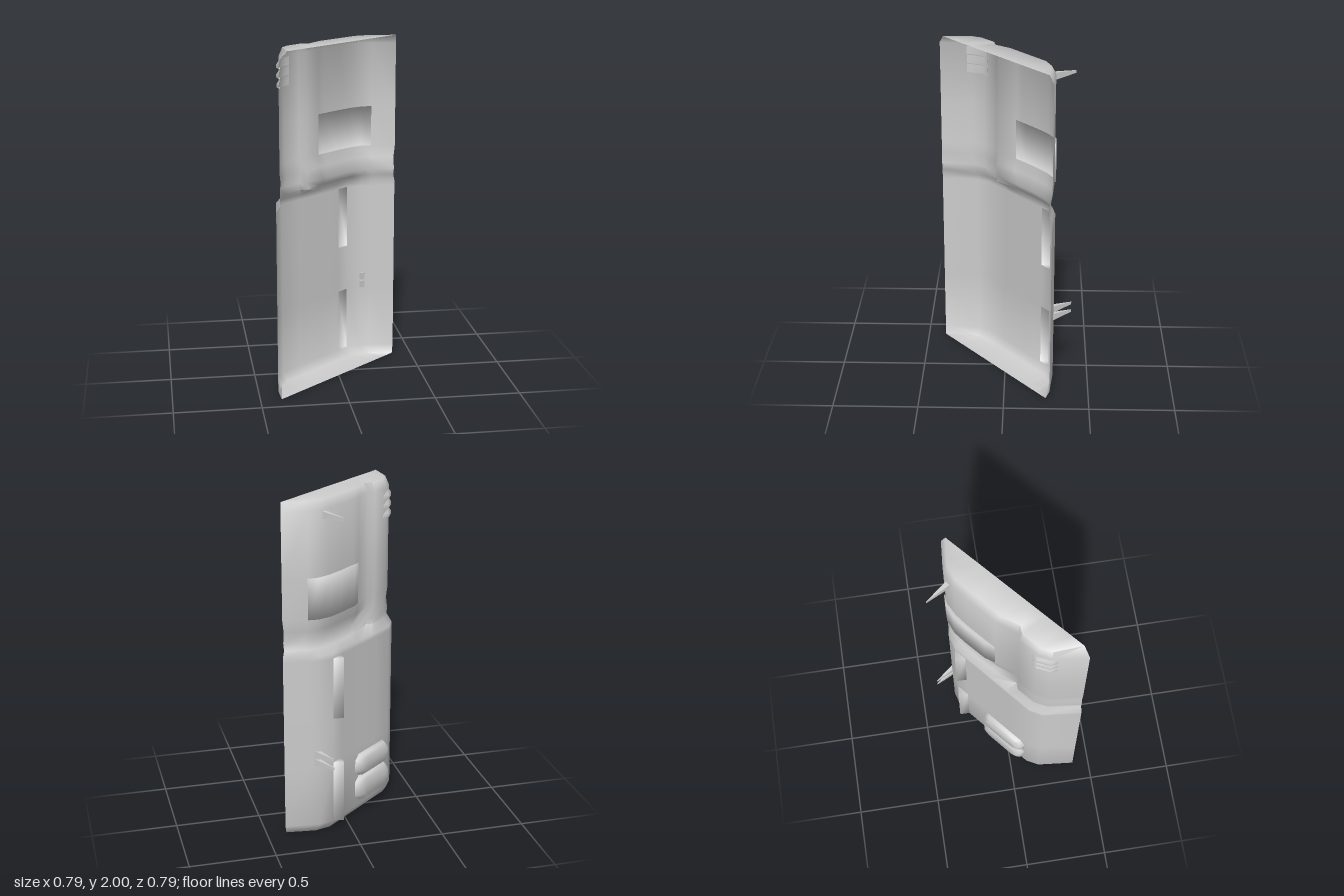
import * as THREE from 'three';
import { toCreasedNormals } from 'three/addons/utils/BufferGeometryUtils.js';

const material = new THREE.MeshStandardMaterial({ color: 0xcccccc, side: THREE.DoubleSide });

function part(name, geometry) {
  const mesh = new THREE.Mesh(geometry, material);
  mesh.name = name;
  return mesh;
}

// Skin rows of [x, y, z] points; skip(row, column) leaves an opening.
function loft(rows, crease, skip = () => false) {
  const pos = [];
  for (let r = 0; r < rows.length - 1; r++) {
    for (let c = 0; c < rows[r].length - 1; c++) {
      if (skip(r, c)) continue;
      const a = rows[r][c], b = rows[r][c + 1], d = rows[r + 1][c], e = rows[r + 1][c + 1];
      pos.push(...a, ...d, ...b, ...b, ...d, ...e);
    }
  }
  const g = new THREE.BufferGeometry();
  g.setAttribute('position', new THREE.Float32BufferAttribute(pos, 3));
  return toCreasedNormals(g, crease);
}

const at = (section, y) => section.map(([x, z]) => [x, y, z]);

// Plan sections [x, z] of the shell, all with the same columns
const lower = [[-0.397, 0.394], [-0.376, 0.175], [-0.337, 0.102], [-0.23, 0.012], [-0.2, -0.013], [-0.1, -0.097],
  [-0.06, -0.13], [0.04, -0.215], [0.1, -0.265], [0.19, -0.29], [0.25, -0.284], [0.394, -0.27]];
const upper = [[-0.376, 0.394], [-0.355, 0.2], [-0.32, 0.13], [-0.228, 0.05], [-0.185, 0.05], [-0.1, -0.06],
  [-0.06, -0.096], [0.04, -0.182], [0.12, -0.243], [0.195, -0.281], [0.25, -0.282], [0.394, -0.27]];
const inset = (section, d) => section.map(([x, z]) => [Math.min(x + 0.64 * d, 0.385), Math.min(z + 0.77 * d, 0.394)]);
const valley = upper.map((p, i) => (i < 5 ? p : inset([p], 0.033)[0]));
const top = [[-0.325, 0.372], [-0.335, 0.21], [-0.303, 0.145], [-0.215, 0.068], [-0.165, 0.064], [-0.1, -0.025],
  [-0.06, -0.059], [0.04, -0.143], [0.14, -0.227], [0.225, -0.258], [0.26, -0.258], [0.387, -0.245]];
const bottom = inset(lower, 0.03);

// Straight line across the open side of a section, used to close its end
function chord(section) {
  const n = section.length - 1, [a, b] = [section[0], section[n]];
  return section.map((_, i) => [a[0] + (b[0] - a[0]) * i / n, a[1] + (b[1] - a[1]) * i / n]);
}

// Raised cover over an opening: the end rows drop back to the shell
function cover(base, raised, y0, y1) {
  return loft([at(base, y0), at(raised, y0), at(raised, y1), at(base, y1)], 2);
}

// Blade-like bar between two plan points, narrowing to a thin tip
function spike(y, from, to) {
  const dx = to[0] - from[0], dz = to[1] - from[1], len = Math.hypot(dx, dz);
  const ring = ([x, z], w, h) => [[1, 1], [1, -1], [-1, -1], [-1, 1], [1, 1]]
    .map(([u, v]) => [x - u * w * dz / len, y + v * h, z + u * w * dx / len]);
  return loft([ring(from, 0, 0), ring(from, 0.014, 0.021), ring(to, 0.001, 0.008), ring(to, 0, 0)], 0.5);
}

// Pad with clipped corners, narrowing towards its face
function padGeometry(w, h) {
  const ring = (d, z) => {
    const x = Math.max(w / 2 - d, 0), y = Math.max(h / 2 - d * 0.7, 0), k = Math.min(0.035, y);
    return [[-x + k, -y], [x - k, -y], [x, -y + k], [x, y - k], [x - k, y], [-x + k, y], [-x, y - k], [-x, -y + k], [-x + k, -y]]
      .map(([a, b]) => [a, b, z]);
  };
  const centre = ring(0, 0.042).map(([x]) => [x * 0.6, 0, 0.042]);
  return loft([ring(0, 0), ring(0.01, 0.025), ring(0.03, 0.042), centre], 0.9);
}

export function createModel() {
  const model = new THREE.Group();
  model.name = 'bodyPanel';

  // Main shell and its closed ends, with openings behind the strips and the window box
  const rows = [[chord(bottom), 0], [bottom, 0], [lower, 0.05], [lower, 0.43], [lower, 0.71], [lower, 1.08],
    [lower, 1.11], [inset(upper, 0.008), 1.15], [valley, 1.19], [inset(upper, 0.01), 1.26], [upper, 1.33],
    [upper, 1.57], [upper, 1.95], [top, 2], [chord(top), 2]];
  const open = (r, c) => ((r === 2 || r === 4) && c === 7) || (r === 10 && c >= 5 && c < 10);
  model.add(part('shell', loft(rows.map(([s, y]) => at(s, y)), 1.2, open)));

  // Window box with a sloped side
  const box = [upper[5], [-0.065, -0.113], [0.04, -0.204], [0.11, -0.258], [0.19, -0.29], [0.25, -0.29]];
  const boxBase = upper.slice(5, 11);
  model.add(part('windowBox', cover([...boxBase, upper[10]], [...box, upper[10]], 1.33, 1.57)));

  // Vertical strips
  for (const [y0, y1] of [[0.05, 0.43], [0.71, 1.08]]) {
    const base = [lower[7], lower[7], lower[8]];
    model.add(part('verticalStrip', cover(base, [lower[7], [0.04, -0.275], lower[8]], y0, y1)));
  }

  // Bevelled pads low on the outer face
  const pads = new THREE.Group();
  pads.name = 'pads';
  pads.position.set(-0.195, 0, -0.018);
  pads.rotation.y = Math.atan2(-0.643, -0.766);
  for (const [y, h] of [[0.165, 0.16], [0.317, 0.14]]) {
    const pad = part('pad', padGeometry(0.326, h));
    pad.position.y = y;
    pads.add(pad);
  }
  model.add(pads);

  // Louvres wrapped around the upper corner
  const inner = [[-0.352, 0.235], [-0.348, 0.203], [-0.315, 0.136], [-0.288, 0.114]];
  const outer = [[-0.359, 0.235], [-0.368, 0.195], [-0.333, 0.121], [-0.294, 0.108]];
  for (const y of [1.775, 1.83, 1.885]) {
    model.add(part('louvre', loft([at(inner, y), at(outer, y), at(outer, y + 0.02), at(inner, y + 0.05), at(inner, y)], 0.9)));
  }

  // Spikes
  model.add(part('upperSpike', spike(1.92, [0.152, -0.268], [0.07, -0.394])));
  for (const y of [0.453, 0.504]) model.add(part('lowerSpike', spike(y, [0.205, -0.279], [0.13, -0.394])));

  return model;
}
